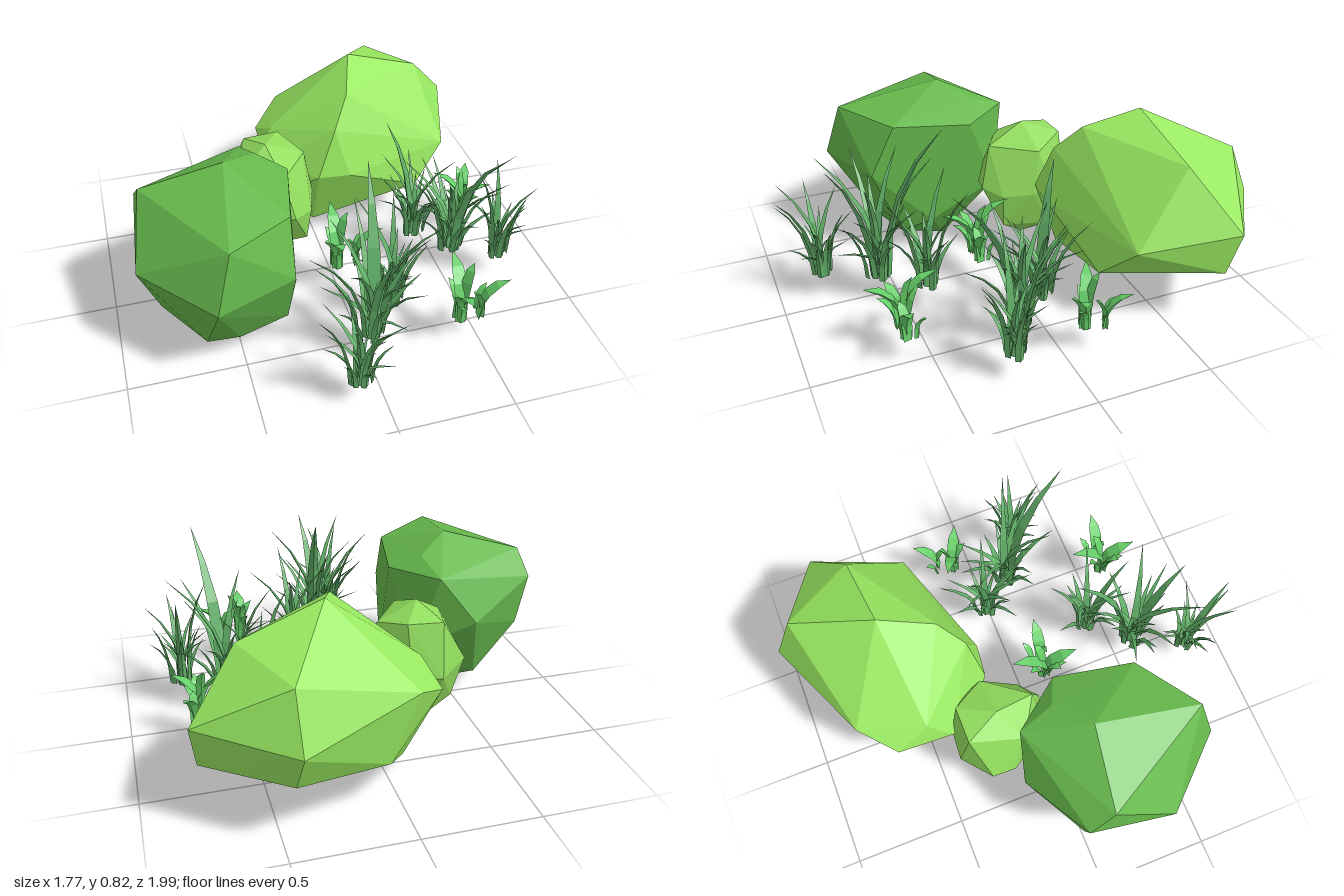
import * as THREE from 'three';
import { ConvexGeometry } from 'three/addons/geometries/ConvexGeometry.js';
import { mergeGeometries } from 'three/addons/utils/BufferGeometryUtils.js';

const mat = (color) => new THREE.MeshStandardMaterial({ color, flatShading: true, side: THREE.DoubleSide });

// Faceted bush: the hull of a few corner points
function bush(name, color, pts) {
  const mesh = new THREE.Mesh(new ConvexGeometry(pts.map((p) => new THREE.Vector3(...p))), mat(color));
  mesh.name = name;
  return mesh;
}

// Curved, pointed blade with a three-sided section; widths are given from root to just below the tip
function blade(x, z, dir, reach, height, widths, droop = 0.25, y = 0) {
  const u = new THREE.Vector3(Math.cos(dir), 0, Math.sin(dir));
  const s = new THREE.Vector3(-Math.sin(dir), 0, Math.cos(dir));
  const n = widths.length;
  const at = (t) => new THREE.Vector3(x, y, z)
    .addScaledVector(u, reach * t * t)
    .add(new THREE.Vector3(0, height * ((1 + droop) * t - droop * t * t), 0));
  const rings = widths.map((w, i) => {
    const p = at(i / n);
    const out = at(i / n + 0.02).sub(p).normalize().cross(s).multiplyScalar(w * 0.7);
    return [p.clone().addScaledVector(s, w), p.clone().addScaledVector(s, -w), p.clone().add(out)];
  });
  const tip = at(1);
  const pos = [];
  const tri = (...v) => v.forEach((p) => pos.push(p.x, p.y, p.z));
  for (let i = 0; i < n; i++) {
    for (let k = 0; k < 3; k++) {
      const a = rings[i][k], b = rings[i][(k + 1) % 3];
      if (i === n - 1) { tri(a, b, tip); continue; }
      const c = rings[i + 1][(k + 1) % 3], d = rings[i + 1][k];
      tri(a, b, c);
      tri(a, c, d);
    }
  }
  tri(rings[0][0], rings[0][2], rings[0][1]);
  const g = new THREE.BufferGeometry();
  g.setAttribute('position', new THREE.Float32BufferAttribute(pos, 3));
  g.computeVertexNormals();
  return g;
}

function seeded(seed) {
  let s = seed * 7919 + 13;
  return () => (s = (s * 16807) % 2147483647) / 2147483647;
}

// Spiky tuft: a tight bundle of roots fanning out into a star
function grassTuft([x, z, reach, height, seed], material) {
  const rnd = seeded(seed);
  for (let i = 0; i < 5; i++) rnd();
  const parts = [];
  const count = 18;
  const k = height / 0.6;
  for (let i = 0; i < count; i++) {
    const dir = i * 2.39996 + rnd() * 0.5;
    const tall = i % 3 === 0;
    // Some roots sit on the far side so that blades cross over the middle
    const root = (i % 2 ? 0.05 : -0.025) * (0.4 + 0.6 * rnd()) * (0.4 + 0.6 * k);
    const size = 0.5 + 0.5 * rnd();
    const w = (0.012 + 0.009 * size) * (0.4 + 0.6 * k);
    parts.push(blade(Math.cos(dir) * root, Math.sin(dir) * root, dir,
      (reach - root) * (tall ? 0.75 + 0.3 * rnd() : 0.4 + 0.5 * rnd()),
      height * size * (tall ? 0.95 : 0.6),
      [w, w * 0.95, w * 0.75, w * 0.42]));
  }
  const mesh = new THREE.Mesh(mergeGeometries(parts), material);
  mesh.position.set(x, 0.115, z);
  mesh.name = 'grassTuft';
  return mesh;
}

// Leafy sprout: one main spray plus a smaller one beside it
function sprout([x, z, turn, scale], material) {
  const parts = [];
  const leaves = [
    // root x, root z, direction, reach, height, width
    [0.0, 0.02, -1.5, 0.18, 0.25, 0.03], [0.0, -0.01, 1.65, 0.16, 0.21, 0.032],
    [0.0, 0.01, 2.6, 0.08, 0.19, 0.026], [0.01, 0.0, -0.6, 0.06, 0.27, 0.024],
    [0.0, 0.02, 2.0, 0.08, 0.14, 0.022], [0.0, -0.02, -2.0, 0.07, 0.17, 0.022],
    [0.08, 0.01, 0.1, 0.13, 0.19, 0.028], [0.1, 0.01, 2.9, 0.06, 0.16, 0.022],
    [0.09, -0.03, -0.5, 0.06, 0.12, 0.016],
  ];
  for (const [lx, lz, dir, reach, h, w] of leaves) {
    parts.push(blade(lx, lz, dir, reach, h, [w * 0.85, w * 0.9, w, w * 0.85], 0.8));
  }
  const mesh = new THREE.Mesh(mergeGeometries(parts), material);
  mesh.position.set(x, 0.115, z);
  mesh.rotation.y = turn;
  mesh.scale.setScalar(scale);
  mesh.name = 'leafySprout';
  return mesh;
}

export function createModel() {
  const model = new THREE.Group();
  model.name = 'shrubbery';

  model.add(bush('darkBush', 0x66b84c, [
    [-0.48, 0.78, 0.12], [-0.545, 0.69, 0.58], [-0.83, 0.68, 0.07], [-0.2, 0.655, 0.06], [-0.37, 0.66, -0.155],
    [-0.33, 0.72, 0.0], [-0.27, 0.67, 0.4], [-0.845, 0.58, -0.04],
    [-0.89, 0.465, 0.34], [-0.615, 0.44, 0.64], [-0.28, 0.44, 0.51], [-0.53, 0.45, -0.195],
    [-0.65, 0.14, 0.46], [-0.805, 0.14, 0.2], [-0.39, 0.0, 0.145], [-0.22, 0.19, 0.25], [-0.29, 0.12, 0.38],
    [-0.51, 0.11, 0.44], [-0.8, 0.35, -0.03], [-0.28, 0.3, -0.08], [-0.6, 0.12, -0.04],
  ]));

  model.add(bush('largeBush', 0x98e860, [
    [0.245, 0.82, -0.545], [0.595, 0.7, -0.58], [0.44, 0.66, -0.9], [0.17, 0.74, -0.315], [-0.16, 0.5, -0.5],
    [0.435, 0.43, -1.0], [0.8, 0.455, -0.735], [0.67, 0.385, -0.33], [0.145, 0.4, -0.16], [0.09, 0.62, -0.22],
    [-0.2, 0.42, -0.65], [-0.2, 0.38, -0.4], [-0.065, 0.5, -0.785], [-0.09, 0.32, -0.25], [0.0, 0.4, -0.175],
    [-0.09, 0.055, -0.52], [0.0, 0.08, -0.29], [0.51, 0.22, -0.245], [0.775, 0.27, -0.69], [0.45, 0.265, -0.92],
    [0.05, 0.2, -0.78],
  ]));

  model.add(bush('smallBush', 0x92de5e, [
    [-0.24, 0.61, -0.21], [-0.31, 0.56, -0.36], [-0.15, 0.57, -0.36], [-0.06, 0.53, -0.22], [-0.2, 0.53, -0.03],
    [-0.37, 0.52, -0.13], [-0.435, 0.35, -0.305], [-0.435, 0.34, -0.2], [-0.3, 0.32, -0.41], [-0.165, 0.33, -0.4],
    [-0.03, 0.36, -0.275], [-0.03, 0.33, -0.185], [-0.16, 0.34, 0.02], [-0.31, 0.32, -0.01], [-0.07, 0.32, -0.05],
    [-0.165, 0.06, -0.18], [-0.29, 0.12, -0.1], [-0.28, 0.12, -0.32], [-0.08, 0.13, -0.29],
    [-0.09, 0.16, -0.06], [-0.38, 0.17, -0.3],
  ]));

  // Grass tufts: x, z, reach, height, seed
  const grass = mat(0x62b068);
  const tufts = [
    [0.02, 0.58, 0.28, 0.66, 1], [0.55, 0.13, 0.28, 0.66, 2], [0.17, 0.4, 0.21, 0.55, 3],
    [0.42, -0.02, 0.22, 0.56, 4], [0.74, 0.24, 0.16, 0.54, 5], [-0.1, 0.81, 0.18, 0.46, 6],
  ];
  for (const t of tufts) model.add(grassTuft(t, grass));

  // Tallest blades: x, z, direction, reach, height
  const tallBlades = [
    [0.56, 0.16, 1.32, 0.29, 0.68], [0.04, 0.55, -1.42, 0.27, 0.68], [0.02, 0.6, 1.4, 0.19, 0.57],
    [-0.1, 0.83, 1.2, 0.17, 0.42], [0.41, -0.02, -2.4, 0.15, 0.57],
  ];
  for (const [x, z, dir, reach, h] of tallBlades) {
    const w = 0.044 * h;
    const tall = new THREE.Mesh(blade(x, z, dir, reach, h, [w, w, w * 0.85, w * 0.5], 0.25, 0.12), grass);
    tall.name = 'tallBlade';
    model.add(tall);
  }

  // Leafy sprouts: x, z, turn, scale
  const leaf = mat(0x66d068);
  for (const s of [[0.0, 0.12, 0, 1], [0.41, 0.59, 0, 1], [0.69, -0.09, 1.2, 0.9]]) model.add(sprout(s, leaf));

  return model;
}
